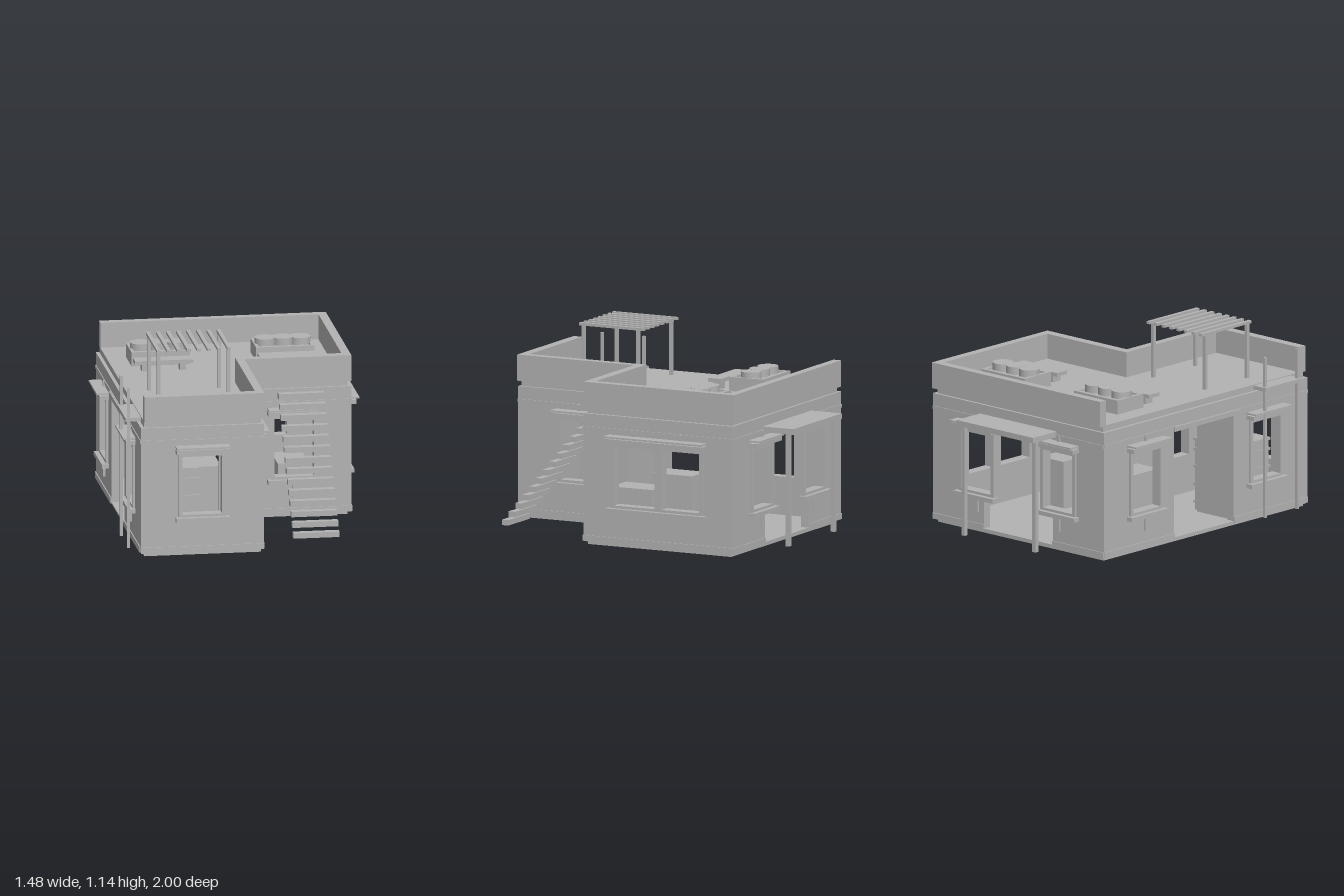
import * as THREE from 'three';

export function createModel() {
  const root = new THREE.Group();
  root.name = 'house';
  const grey = new THREE.MeshStandardMaterial({ color: 0xb3b3b3 });
  grey.name = 'plain grey';

  // Box given by its minimum and maximum on each axis
  function box(parent, name, x0, x1, y0, y1, z0, z1) {
    const m = new THREE.Mesh(new THREE.BoxGeometry(x1 - x0, y1 - y0, z1 - z0), grey);
    m.position.set((x0 + x1) / 2, (y0 + y1) / 2, (z0 + z1) / 2);
    m.name = name;
    parent.add(m);
    return m;
  }

  // L-shaped slab, main block plus front wing
  function slab(name, x0, x1, xWing, z0, zInner, z1, y0, y1) {
    const s = new THREE.Shape([
      [x0, -z0], [x0, -z1], [xWing, -z1], [xWing, -zInner], [x1, -zInner], [x1, -z0],
    ].map(p => new THREE.Vector2(...p)));
    const g = new THREE.ExtrudeGeometry(s, { depth: y1 - y0, bevelEnabled: false });
    g.rotateX(-Math.PI / 2);
    g.translate(0, y0, 0);
    const m = new THREE.Mesh(g, grey);
    m.name = name;
    root.add(m);
  }
  slab('floorSlab', -0.65, 0.65, 0.03, -0.78, 0.15, 0.91, 0, 0.022);
  slab('roofSlab', -0.65, 0.65, 0.03, -0.785, 0.155, 0.91, 0.764, 0.802);

  const rect = (u0, u1, v0, v1) => [[u0, v0], [u1, v0], [u1, v1], [u0, v1]];
  const opening = (u, half = 0.115) => rect(u - half, u + half, 0.245, 0.59);

  // Window surround: local z = 0 is the outer face of the wall
  function windowTrim(parent, u, half = 0.115, sticks = [0]) {
    const w = new THREE.Group();
    w.name = 'window';
    w.position.x = u;
    parent.add(w);
    const f = half + 0.022, s = half + 0.04;
    for (const k of [-1, 1]) {
      const a = k * half, b = k * f;
      box(w, 'jamb', Math.min(a, b), Math.max(a, b), 0.23, 0.605, -0.05, 0.015);
    }
    box(w, 'windowHead', -f, f, 0.59, 0.613, -0.05, 0.015);
    box(w, 'windowFoot', -f, f, 0.23, 0.245, -0.05, 0.015);
    box(w, 'sill', -s, s, 0.205, 0.23, -0.01, 0.042);
    box(w, 'header', -s, s, 0.613, 0.638, -0.01, 0.056);
    box(w, 'rainPlate', -s, s, 0.645, 0.655, -0.005, 0.072);
    for (const t of sticks) {
      box(w, 'lowerStrut', t - 0.01, t + 0.01, 0.12, 0.205, -0.005, 0.012);
      box(w, 'upperStrut', t - 0.01, t + 0.01, 0.638, 0.69, -0.005, 0.012);
    }
    return w;
  }

  // Wall with holes: u runs along local x, outside is local +z
  function wall(name, x, z, turn, u0, u1, holes, skirting = true) {
    const g = new THREE.Group();
    g.name = name;
    g.position.set(x, 0, z);
    g.rotation.y = turn;
    root.add(g);
    const s = new THREE.Shape(rect(u0, u1, 0.02, 0.766).map(p => new THREE.Vector2(...p)));
    for (const h of holes) s.holes.push(new THREE.Path(h.map(p => new THREE.Vector2(...p))));
    const geo = new THREE.ExtrudeGeometry(s, { depth: 0.05, bevelEnabled: false });
    geo.translate(0, 0, -0.05);
    const m = new THREE.Mesh(geo, grey);
    m.name = 'wallPanel';
    g.add(m);
    if (skirting) box(g, 'skirting', u0, u1, 0.02, 0.055, -0.01, 0.006);
    box(g, 'pictureRail', u0, u1, 0.672, 0.692, -0.01, 0.005);
    return g;
  }
  const H = Math.PI / 2;

  // Front of wing, wing side and inner front
  windowTrim(wall('wingFrontWall', 0, 0.925, 0, -0.67, 0.045, [opening(-0.315)]), -0.315);
  windowTrim(wall('wingSideWall', 0.045, 0, H, -0.92, -0.125, [opening(-0.525)]), -0.525);
  windowTrim(wall('innerFrontWall', 0, 0.17, 0, 0.0, 0.67, [opening(0.335)]), 0.335);

  // Right wall with double window
  const right = wall('rightWall', 0.67, 0, H, -0.165, 0.795, [opening(0.313, 0.278)]);
  const wide = windowTrim(right, 0.313, 0.278, [-0.155, 0.148]);
  box(wide, 'mullion', -0.012, 0.032, 0.245, 0.59, -0.05, 0.015);

  // Back wall: wide doorway joined to a window on each side
  const halfDoor = [[0.435, 0.245], [0.435, 0.59], [0.27, 0.59], [0.27, 0.66]];
  const doorway = [[0.27, 0.03], [0.27, 0.245], ...halfDoor,
    ...halfDoor.map(([u, v]) => [-u, v]).reverse(), [-0.27, 0.245], [-0.27, 0.03]];
  const back = wall('backWall', 0, -0.8, Math.PI, -0.67, 0.67, [doorway], false);
  for (const k of [-1, 1]) {
    windowTrim(back, k * 0.32);
    box(back, 'skirting', k < 0 ? -0.67 : 0.27, k < 0 ? -0.27 : 0.67, 0.02, 0.055, -0.01, 0.006);
  }

  // Left wall with two windows and a tall opening
  const left = wall('leftWall', -0.67, 0, -H, -0.795, 0.92,
    [opening(-0.45), opening(0.565), rect(-0.205, 0.3, 0.03, 0.66)], false);
  windowTrim(left, -0.45);
  windowTrim(left, 0.565);
  box(left, 'doorLintel', -0.21, 0.34, 0.662, 0.69, -0.02, 0.014);
  box(left, 'skirting', -0.795, -0.205, 0.02, 0.055, -0.01, 0.006);
  box(left, 'skirting', 0.3, 0.9, 0.02, 0.055, -0.01, 0.006);

  // Parapet around every side but the left
  const P0 = 0.797, P1 = 0.95;
  box(root, 'backParapet', -0.65, 0.67, P0, P1, -0.81, -0.76);
  box(root, 'rightParapet', 0.62, 0.67, P0, P1, -0.76, 0.17);
  box(root, 'innerParapet', 0.0, 0.62, P0, P1, 0.115, 0.17);
  box(root, 'wingParapet', 0.0, 0.048, P0, P1, 0.17, 0.875);
  box(root, 'frontParapet', -0.65, 0.048, P0, P1, 0.875, 0.93);

  // Floating outside stair
  for (let i = 0; i < 14; i++) {
    const y = 0.052 + i * 0.0522, z = 0.766 - i * 0.0437;
    box(root, 'stairStep', 0.24, 0.507, y - 0.016, y + 0.016, z - 0.021, z + 0.021);
  }

  // Roof pergola
  for (let i = 0; i < 8; i++) {
    const x = -0.518 + i * 0.0587;
    box(root, 'pergolaSlat', x - 0.011, x + 0.011, 1.125, 1.141, 0.183, 0.605);
  }
  for (const x of [-0.516, -0.109]) for (const z of [0.225, 0.58]) {
    box(root, 'pergolaPost', x - 0.01, x + 0.01, 0.8, 1.126, z - 0.01, z + 0.01);
  }

  // Planters and benches on the roof
  for (const x of [-0.365, 0.36]) {
    const p = new THREE.Group();
    p.name = 'planter';
    p.position.x = x;
    root.add(p);
    for (const k of [-1, 1]) {
      box(p, 'planterEnd', k * 0.16 - 0.01, k * 0.16 + 0.01, 0.8, 0.885, -0.54, -0.32);
      box(p, 'planterSide', -0.15, 0.15, 0.8, 0.885, -0.43 + k * 0.098 - 0.012, -0.43 + k * 0.098 + 0.012);
      box(p, 'benchLeg', k * 0.11 - 0.018, k * 0.11 + 0.018, 0.8, 0.845, -0.255, -0.195);
    }
    box(p, 'soil', -0.15, 0.15, 0.8, 0.873, -0.52, -0.34);
    for (const k of [-1, 0, 1]) {
      const c = new THREE.Mesh(new THREE.CylinderGeometry(0.06, 0.06, 0.05, 28), grey);
      c.name = 'shrub';
      c.position.set(k * 0.103, 0.893 - Math.abs(k) * 0.001, -0.43);
      p.add(c);
    }
    box(p, 'benchSeat', -0.17, 0.17, 0.845, 0.867, -0.27, -0.183);
  }

  // Back canopy
  box(root, 'canopyRoof', -0.3, 0.3, 0.677, 0.71, -1.0, -0.8);
  for (const x of [-0.278, 0.278]) box(root, 'canopyPost', x - 0.013, x + 0.013, 0.02, 0.678, -0.97, -0.944);

  // Small side balcony with tall posts
  box(root, 'sideLedge', -0.742, -0.64, 0.775, 0.797, 0.49, 0.8);
  for (const z of [0.51, 0.782]) box(root, 'sidePost', -0.73, -0.714, 0.02, 0.973, z - 0.008, z + 0.008);

  // Interior: partition with doorway, bookcase and seats
  box(root, 'partition', -0.62, -0.345, 0.02, 0.765, 0.34, 0.36);
  box(root, 'partition', -0.13, 0.0, 0.02, 0.765, 0.34, 0.36);
  box(root, 'partitionHead', -0.345, -0.13, 0.53, 0.765, 0.34, 0.36);
  box(root, 'bookcase', -0.61, -0.3, 0.02, 0.445, 0.37, 0.66);
  for (const y of [0.07, 0.175, 0.28, 0.382, 0.442]) {
    box(root, 'shelf', -0.615, -0.295, y - 0.008, y + 0.008, 0.365, 0.67);
  }
  box(root, 'seat', 0.25, 0.43, 0.02, 0.305, -0.15, 0.115);
  box(root, 'seat', -0.255, -0.08, 0.02, 0.305, -0.14, 0.115);

  return root;
}
